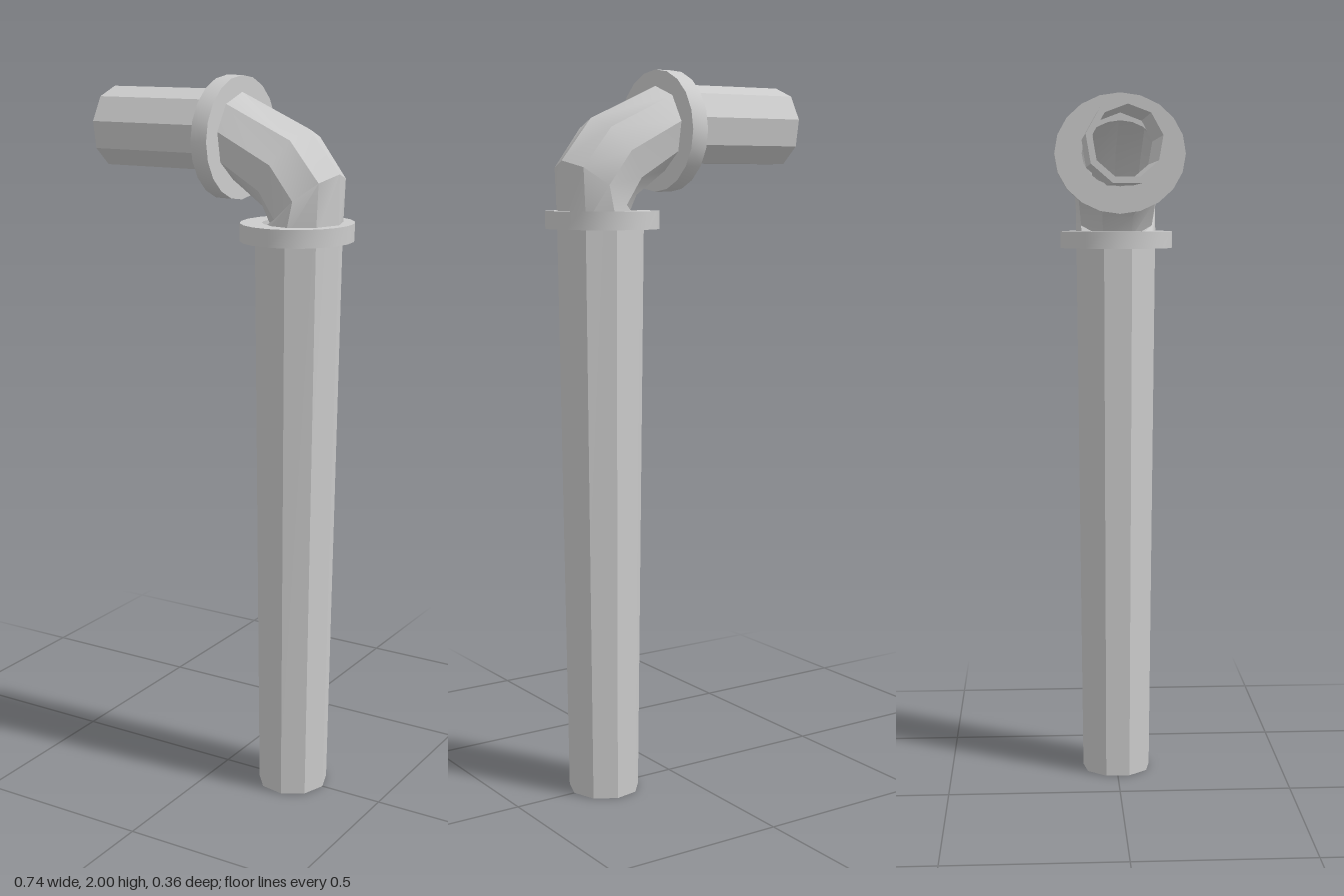
import * as THREE from 'three';
import { toCreasedNormals } from 'three/addons/utils/BufferGeometryUtils.js';

const material = new THREE.MeshStandardMaterial({ color: 0xcccccc });

// A ring is [centreX, centreY, direction of its first corner in degrees, radius in plane, radius along z].
// Rings run from the open side end towards the foot; the loop closes back on the first ring.
function loft(name, rings, sides) {
  const positions = [], index = [];
  for (const [cx, cy, deg, ru, rz] of rings) {
    const d = THREE.MathUtils.degToRad(deg);
    for (let j = 0; j < sides; j++) {
      const a = (j / sides) * Math.PI * 2;
      const u = ru * Math.cos(a);
      positions.push(cx + u * Math.cos(d), cy + u * Math.sin(d), rz * Math.sin(a));
    }
  }
  const n = rings.length;
  for (let i = 0; i < n; i++) {
    const r0 = i * sides, r1 = ((i + 1) % n) * sides;
    for (let j = 0; j < sides; j++) {
      const k = (j + 1) % sides;
      index.push(r0 + j, r0 + k, r1 + k, r0 + j, r1 + k, r1 + j);
    }
  }
  const geometry = new THREE.BufferGeometry();
  geometry.setAttribute('position', new THREE.Float32BufferAttribute(positions, 3));
  geometry.setIndex(index);
  const mesh = new THREE.Mesh(toCreasedNormals(geometry, 0.6), material);
  mesh.name = name;
  return mesh;
}

// Hollow part: outer rings followed by the same rings, shrunk, in reverse
function hollow(name, rings, wall, sides) {
  const inner = rings.map(([x, y, d, ru, rz]) => [x, y, d, ru - wall, rz - wall]).reverse();
  return loft(name, [...rings, ...inner], sides);
}

export function createModel() {
  const group = new THREE.Group();
  group.name = 'bentPipe';

  // Horizontal pipe, open at its outer end
  group.add(hollow('sidePipe', [
    [-0.37, 1.853, 90, 0.11, 0.108],
    [0.02, 1.853, 90, 0.11, 0.108],
  ], 0.017, 9));

  // Flange between the horizontal pipe and the elbow
  group.add(hollow('sideFlange', [
    [-0.004, 1.836, 90, 0.164, 0.181],
    [0.044, 1.836, 90, 0.164, 0.181],
  ], 0.075, 20));

  // Faceted elbow turning from the side to straight down
  group.add(hollow('elbow', [
    [0.02, 1.84, 90, 0.12, 0.128],
    [0.045, 1.838, 90, 0.118, 0.128],
    [0.19, 1.762, 60, 0.12, 0.127],
    [0.248, 1.677, 40, 0.12, 0.118],
    [0.222, 1.59, 0, 0.118, 0.118],
  ], 0.017, 9));

  // Flange between the elbow and the long pipe
  group.add(hollow('lowerFlange', [
    [0.216, 1.622, 0, 0.151, 0.162],
    [0.216, 1.574, 0, 0.151, 0.162],
  ], 0.06, 20));

  // Long pipe narrowing to an open foot
  group.add(hollow('longPipe', [
    [0.221, 1.6, 0, 0.12, 0.117],
    [0.222, 0, 0, 0.098, 0.102],
  ], 0.017, 9));

  return group;
}
